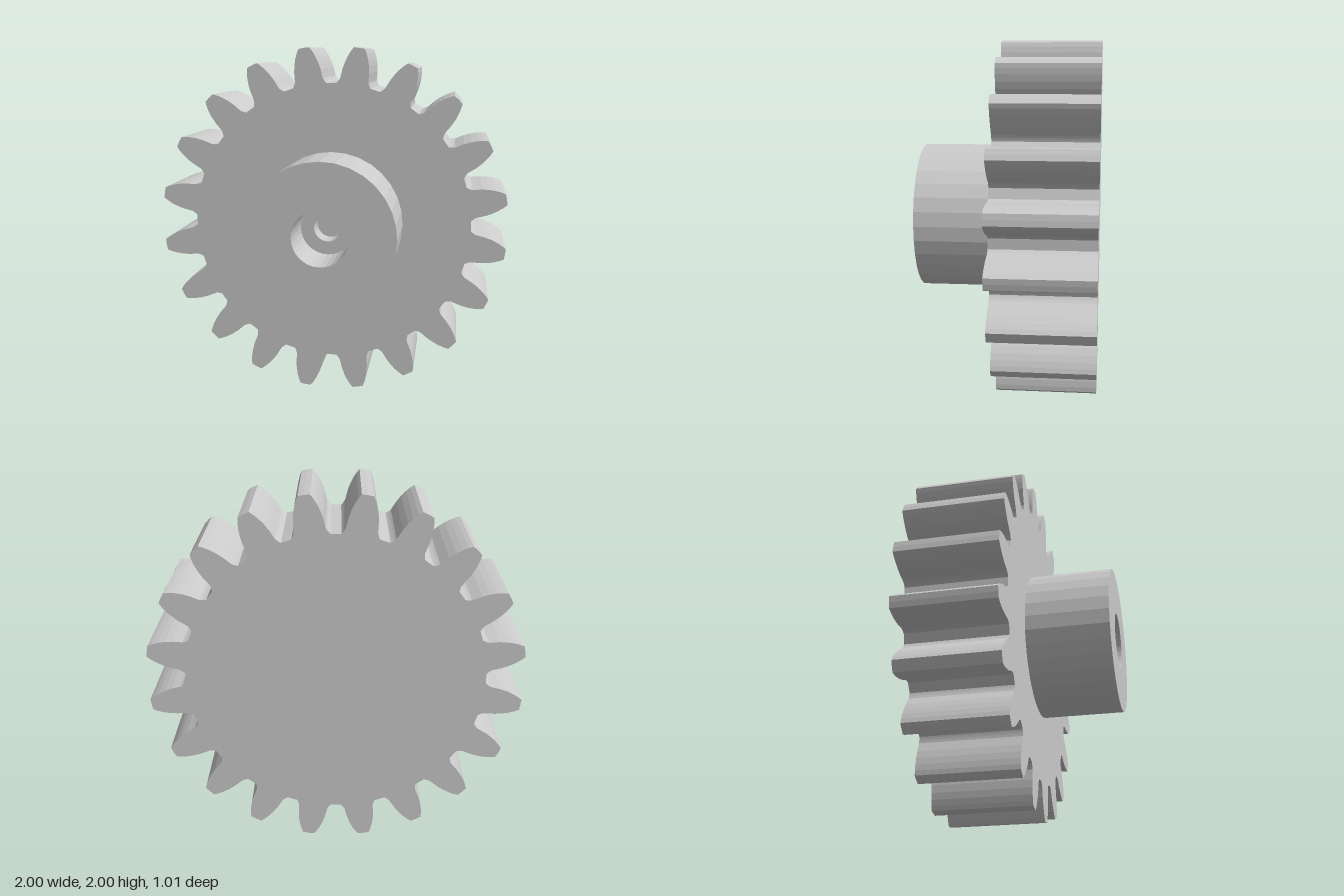
import * as THREE from 'three';

const TEETH = 20;

// Half of one tooth, root to tip: [radial distance, half width]
const HALF_TOOTH = [
  [0.795, 0.098], [0.802, 0.093], [0.812, 0.087], [0.825, 0.081], [0.845, 0.079],
  [0.88, 0.076], [0.92, 0.068], [0.955, 0.057], [0.985, 0.044], [1.007, 0.031],
];

// Closed outline of the toothed wheel, with a gap centred at the top
function gearShape() {
  const points = [];
  const tip = [1.0085, 0];
  const tooth = [
    ...HALF_TOOTH.map(([r, w]) => [r, -w]),
    tip,
    ...[...HALF_TOOTH].reverse(),
  ];
  for (let i = 0; i < TEETH; i++) {
    const a = ((i + 0.5) / TEETH) * Math.PI * 2;
    for (const [r, w] of tooth) {
      points.push(new THREE.Vector2(
        r * Math.cos(a) - w * Math.sin(a),
        r * Math.sin(a) + w * Math.cos(a),
      ));
    }
  }
  return new THREE.Shape(points);
}

export function createModel() {
  const group = new THREE.Group();
  group.name = 'spurGear';
  const material = new THREE.MeshStandardMaterial({ color: 0xcccccc, flatShading: true });

  // Toothed wheel with a solid back
  const wheelGeometry = new THREE.ExtrudeGeometry(gearShape(), { depth: 0.55, bevelEnabled: false });
  const wheel = new THREE.Mesh(wheelGeometry, material);
  wheel.name = 'toothedWheel';
  wheel.position.set(0, 1, -0.505);
  group.add(wheel);

  // Hub with a stepped blind bore, turned around the z axis
  const profile = [
    [0.412, 0.045], [0.412, 0.505], [0.155, 0.505], [0.155, 0.19],
    [0.08, 0.19], [0.08, 0.06], [0, 0.06],
  ].map(([r, z]) => new THREE.Vector2(r, z));
  const hubGeometry = new THREE.LatheGeometry(profile, 32);
  hubGeometry.rotateX(Math.PI / 2);
  const hub = new THREE.Mesh(hubGeometry, material);
  hub.name = 'hub';
  hub.position.y = 1;
  group.add(hub);

  return group;
}
